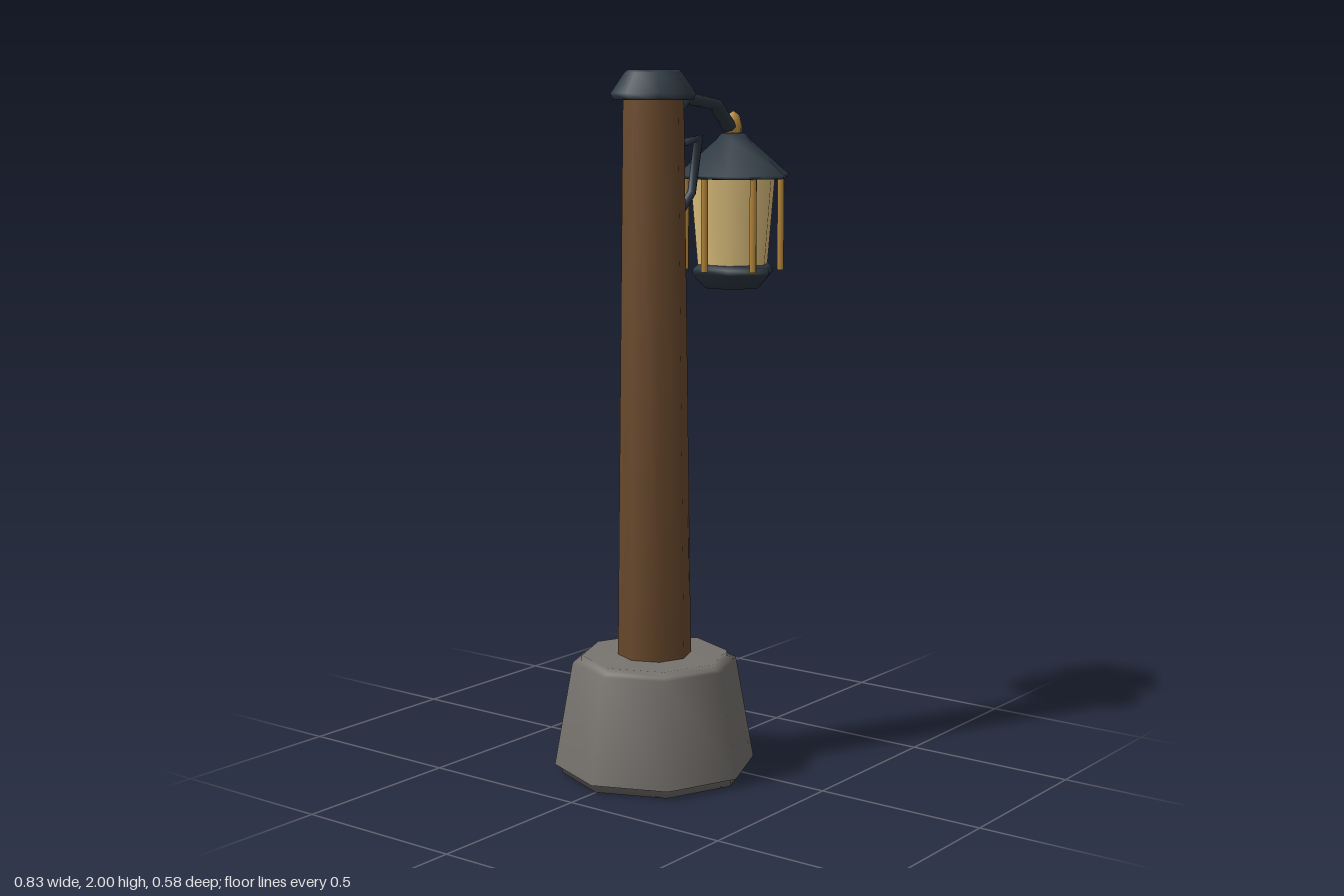
import * as THREE from 'three';

const paint = (name, color) => {
  const m = new THREE.MeshStandardMaterial({ color });
  m.name = name;
  return m;
};

// Sweeps an elliptical section along a flat path; each ring is [x, y, x, y]:
// the right-hand and left-hand edge of the bar as seen along the path.
function sweep(rings, depth, sides = 8) {
  const pos = [], index = [], n = rings.length;
  for (const [ax, ay, bx, by] of rings) {
    for (let j = 0; j < sides; j++) {
      const t = (j / sides) * Math.PI * 2, c = Math.cos(t) / 2;
      pos.push((ax + bx) / 2 + (bx - ax) * c, (ay + by) / 2 + (by - ay) * c, depth * Math.sin(t));
    }
  }
  for (let i = 0; i < n - 1; i++) {
    for (let j = 0; j < sides; j++) {
      const a = i * sides + j, b = i * sides + (j + 1) % sides;
      index.push(a, b, a + sides, b, b + sides, a + sides);
    }
  }
  // End caps
  const last = (n - 1) * sides;
  for (let j = 1; j < sides - 1; j++) {
    index.push(0, j + 1, j, last, last + j, last + j + 1);
  }
  const g = new THREE.BufferGeometry();
  g.setAttribute('position', new THREE.Float32BufferAttribute(pos, 3));
  g.setIndex(index);
  g.computeVertexNormals();
  return g;
}

export function createModel() {
  const stone = paint('stone', 0x77736f);
  const wood = paint('wood', 0x6b4a2d);
  const iron = paint('dark iron', 0x2d3842);
  const brass = paint('brass', 0xb5873a);
  const glass = paint('warm glass', 0xe0c27e);

  const model = new THREE.Group();
  model.name = 'streetLantern';

  const add = (parent, name, geometry, material) => {
    const mesh = new THREE.Mesh(geometry, material);
    mesh.name = name;
    parent.add(mesh);
    return mesh;
  };
  // Faceted turned part from a [radius, height] profile, bottom to top
  const turned = (parent, name, profile, sides, material) =>
    add(parent, name, new THREE.LatheGeometry(profile.map(([r, y]) => new THREE.Vector2(r, y)), sides), material);

  // Octagonal column: footing, post and cap
  const column = new THREE.Group();
  column.name = 'column';
  column.position.x = -0.124;
  model.add(column);
  turned(column, 'footing',
    [[0, 0], [0.27, 0], [0.27, 0.022], [0.29, 0.025], [0.237, 0.325], [0.212, 0.328], [0.21, 0.345], [0, 0.345]], 8, stone);
  turned(column, 'post', [[0, 0.33], [0.106, 0.33], [0.085, 1.93], [0, 1.93]], 8, wood);
  turned(column, 'postCap', [[0, 1.918], [0.112, 1.918], [0.12, 1.936], [0.082, 1.992], [0.072, 2], [0, 2]], 8, iron);

  // Bracket arm and the curled brace below it
  add(model, 'arm', sweep([
    [-0.06, 1.838, -0.06, 1.888],
    [0.026, 1.905, 0.021, 1.942],
    [0.159, 1.889, 0.175, 1.921],
    [0.222, 1.825, 0.249, 1.852],
  ], 0.022), iron);
  add(model, 'brace', sweep([
    [-0.05, 1.54, -0.05, 1.58],
    [0.063, 1.651, 0.042, 1.661],
    [0.1, 1.82, 0.069, 1.8],
    [0.021, 1.81, 0.032, 1.788],
  ], 0.013), iron);

  // Hexagonal lantern
  const lantern = new THREE.Group();
  lantern.name = 'lantern';
  lantern.position.x = 0.255;
  model.add(lantern);
  turned(lantern, 'lanternBase', [[0, 1.37], [0.088, 1.372], [0.13, 1.415], [0.128, 1.43], [0.114, 1.442], [0, 1.442]], 6, iron);
  turned(lantern, 'glassPane', [[0.112, 1.435], [0.136, 1.7]], 6, glass);
  turned(lantern, 'roof', [[0, 1.692], [0.176, 1.692], [0.181, 1.702], [0.055, 1.803], [0.038, 1.822], [0, 1.824]], 6, iron);
  turned(lantern, 'finial', [[0, 1.81], [0.025, 1.815], [0.025, 1.845], [0.018, 1.874], [0, 1.886]], 8, brass);

  // Six brass bars, one in front of each pane
  const barGeometry = new THREE.CylinderGeometry(0.011, 0.011, 0.27, 6);
  for (let i = 0; i < 6; i++) {
    const a = (i / 6) * Math.PI * 2;
    const bar = add(lantern, 'bar', barGeometry, brass);
    bar.position.set(Math.cos(a) * 0.14, 1.56, Math.sin(a) * 0.14);
  }

  return model;
}
